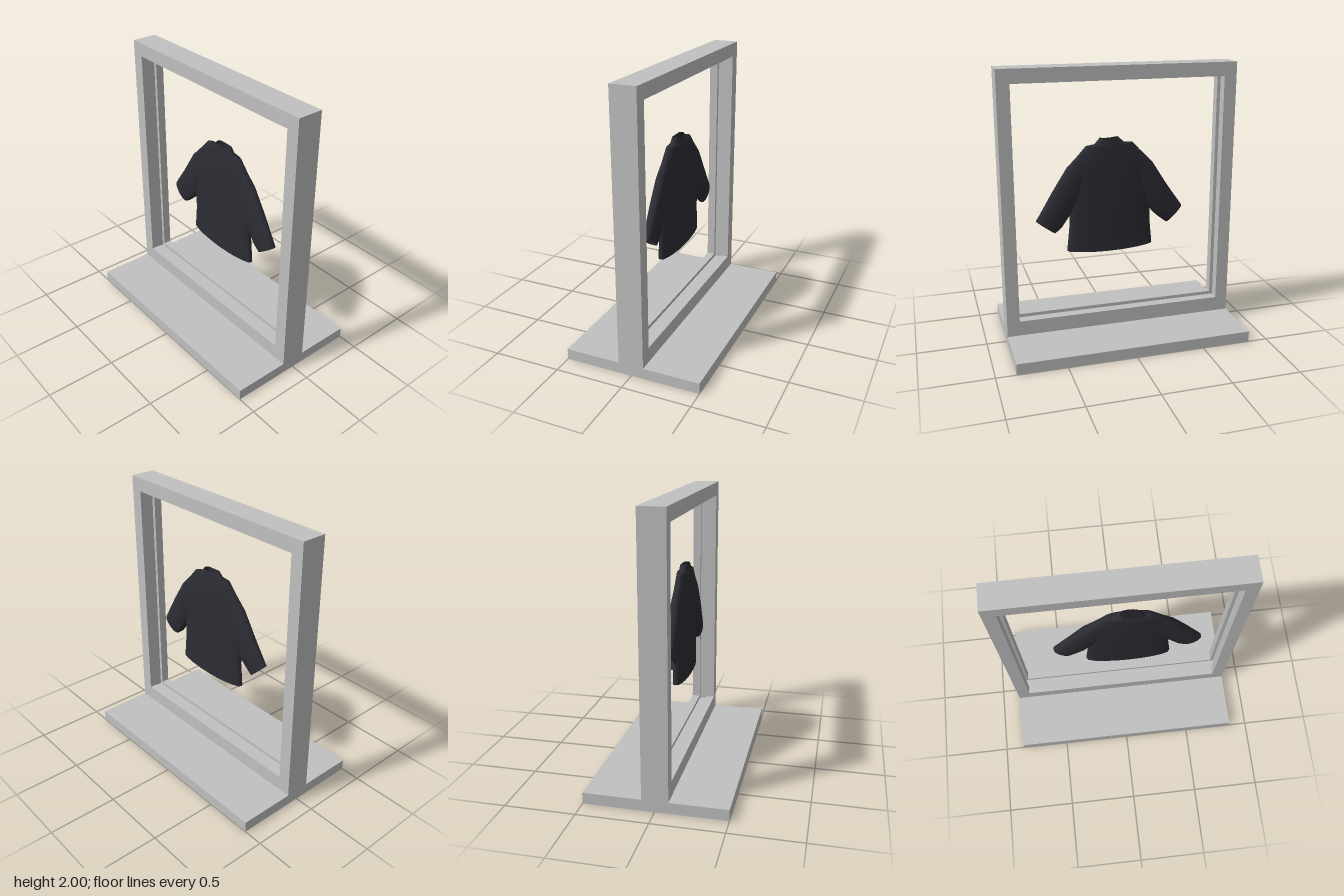
import * as THREE from 'three';

const grey = new THREE.MeshStandardMaterial({ color: 0xc0c0c0 });
grey.name = 'frameGrey';
const cloth = new THREE.MeshStandardMaterial({ color: 0x2c2c34, side: THREE.DoubleSide });
cloth.name = 'darkCloth';

// Upright rectangular ring spanning x0..x1, its opening widened by "recess"
function frameLayer(name, x0, x1, recess) {
  const shape = new THREE.Shape([[-0.857, 0.08], [0.857, 0.08], [0.857, 2], [-0.857, 2]]
    .map(p => new THREE.Vector2(...p)));
  const w = 0.765 + recess, y0 = 0.19 - recess, y1 = 1.9 + recess;
  shape.holes.push(new THREE.Path([[-w, y0], [-w, y1], [w, y1], [w, y0]]
    .map(p => new THREE.Vector2(...p))));
  const geo = new THREE.ExtrudeGeometry(shape, { depth: x1 - x0, bevelEnabled: false });
  geo.rotateY(-Math.PI / 2).translate(x1, 0, 0);
  const mesh = new THREE.Mesh(geo, grey);
  mesh.name = name;
  return mesh;
}

// Cloth tube through flattened oval sections; each row is [zA, yA, zB, yB, halfThickness, sag]
function clothTube(name, rows, sides = 20) {
  const pos = [], index = [];
  for (const [za, ya, zb, yb, t, sag = 0] of rows) {
    for (let j = 0; j < sides; j++) {
      const f = (j / sides) * Math.PI * 2, c = Math.cos(f), s = Math.sin(f);
      pos.push(
        t * Math.sign(s) * Math.abs(s) ** 0.7,
        (ya + yb) / 2 + c * (ya - yb) / 2 - sag * s * s,
        (za + zb) / 2 + c * (za - zb) / 2);
    }
  }
  for (let i = 0; i < rows.length - 1; i++) {
    for (let j = 0; j < sides; j++) {
      const a = i * sides + j, b = i * sides + (j + 1) % sides;
      index.push(a, b, a + sides, b, b + sides, a + sides);
    }
  }
  const geo = new THREE.BufferGeometry();
  geo.setAttribute('position', new THREE.Float32BufferAttribute(pos, 3));
  geo.setIndex(index);
  geo.computeVertexNormals();
  const mesh = new THREE.Mesh(geo, cloth);
  mesh.name = name;
  return mesh;
}

export function createModel() {
  const model = new THREE.Group();
  model.name = 'displayFrame';

  // Flat foot
  const base = new THREE.Mesh(new THREE.BoxGeometry(1, 0.08, 1.714), grey);
  base.name = 'base';
  base.position.y = 0.04;
  model.add(base);

  // Upright frame with a pane groove running round the inside
  const frame = new THREE.Group();
  frame.name = 'frame';
  frame.add(
    frameLayer('rightLip', -0.095, -0.033, 0),
    frameLayer('groove', -0.033, 0.028, 0.025),
    frameLayer('leftLip', 0.028, 0.09, 0));
  model.add(frame);

  // Shirt floating in the opening
  const shirt = new THREE.Group();
  shirt.name = 'shirt';
  shirt.add(
    clothTube('shirtBody', [
      [0.385, 0.663, -0.262, 0.67, 0.045, 0.018],
      [0.363, 0.865, -0.245, 0.84, 0.045],
      [0.363, 0.95, -0.245, 0.95, 0.05],
      [0.37, 1.285, -0.255, 1.285, 0.05],
      [0.24, 1.43, -0.11, 1.445, 0.042],
      [0.18, 1.44, -0.06, 1.44, 0.036],
    ]),
    clothTube('collar', [
      [0.18, 1.435, -0.06, 1.437, 0.036],
      [0.135, 1.486, 0, 1.49, 0.032, 0.01],
    ]),
    clothTube('frontSleeve', [
      [0.25, 1.1, 0.24, 1.425, 0.036],
      [0.33, 0.98, 0.375, 1.287, 0.045],
      [0.375, 0.915, 0.485, 1.115, 0.045],
      [0.425, 0.845, 0.55, 1.005, 0.042],
      [0.47, 0.81, 0.607, 0.91, 0.038],
    ]),
    clothTube('backSleeve', [
      [-0.11, 1.44, -0.13, 1.1, 0.036],
      [-0.26, 1.29, -0.215, 0.98, 0.045],
      [-0.372, 1.115, -0.26, 0.915, 0.045],
      [-0.435, 1.025, -0.315, 0.865, 0.042],
      [-0.492, 0.945, -0.37, 0.822, 0.038],
    ]));
  model.add(shirt);

  return model;
}
